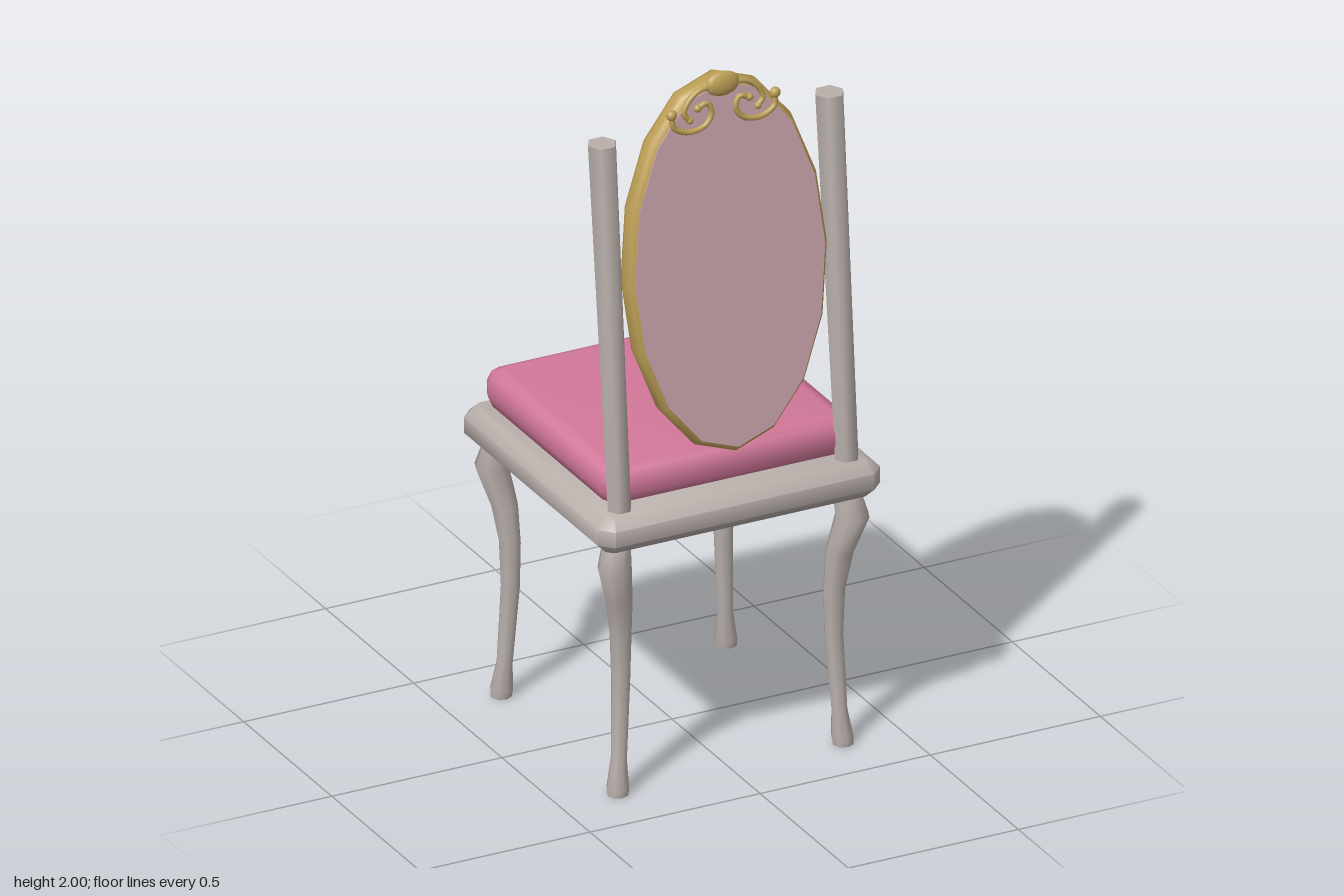
import * as THREE from 'three';
import { toCreasedNormals } from 'three/addons/utils/BufferGeometryUtils.js';

const mat = (name, color) => {
  const m = new THREE.MeshStandardMaterial({ color });
  m.name = name;
  return m;
};

// Tapered, bent bar: sections run from top to bottom as [x, y, z, radius]
function bar(sections, sides) {
  const rows = sections.length - 1;
  const g = new THREE.CylinderGeometry(1, 1, 1, sides, rows);
  g.rotateY(Math.PI / 2);
  const p = g.attributes.position;
  for (let i = 0; i < p.count; i++) {
    const [x, y, z, r] = sections[Math.round((0.5 - p.getY(i)) * rows)];
    p.setXYZ(i, x + p.getX(i) * r, y, z + p.getZ(i) * r);
  }
  return toCreasedNormals(g, 1.15);
}

// Horizontal slab with rounded corners and bevelled edges, resting on y = 0
function slab(width, depth, height, corner, bevel, steps) {
  const shape = new THREE.Shape();
  const cx = width / 2 - corner, cy = depth / 2 - corner;
  const pts = [];
  [[1, 1], [-1, 1], [-1, -1], [1, -1]].forEach(([sx, sy], q) => {
    for (let i = 0; i <= steps; i++) {
      const a = (q + i / steps) * Math.PI / 2;
      pts.push(new THREE.Vector2(sx * cx + corner * Math.cos(a), sy * cy + corner * Math.sin(a)));
    }
  });
  shape.setFromPoints(pts);
  const g = new THREE.ExtrudeGeometry(shape, {
    depth: height - 2 * bevel, bevelThickness: bevel, bevelSize: bevel,
    bevelOffset: -bevel, bevelSegments: steps
  });
  g.translate(0, 0, bevel);
  g.rotateX(-Math.PI / 2);
  return toCreasedNormals(g, 0.9);
}

export function createModel() {
  const wood = mat('greyWood', 0xb9afab);
  const pink = mat('pinkCushion', 0xd2779a);
  const panel = mat('palePinkPanel', 0xcca6ae);
  const gold = mat('gold', 0xbd9f56);

  const chair = new THREE.Group();
  chair.name = 'chair';
  const add = (parent, name, geometry, material, x = 0, y = 0, z = 0) => {
    const m = new THREE.Mesh(geometry, material);
    m.name = name;
    m.position.set(x, y, z);
    parent.add(m);
    return m;
  };

  // Seat
  add(chair, 'seatFrame', slab(0.83, 0.83, 0.105, 0.035, 0.03, 1), wood, 0, 0.73, 0);
  add(chair, 'seatCushion', slab(0.736, 0.728, 0.112, 0.05, 0.04, 2), pink, 0, 0.833, -0.019);

  // Curved legs, bowed outwards along both diagonals: [height, offset, radius]
  const legProfile = [
    [0.74, 0.337, 0.038], [0.665, 0.349, 0.047], [0.56, 0.325, 0.038], [0.45, 0.314, 0.03],
    [0.32, 0.313, 0.026], [0.1, 0.324, 0.022], [0.02, 0.33, 0.031], [0, 0.331, 0.029]
  ];
  for (const sx of [1, -1]) for (const sz of [1, -1]) {
    const name = (sz > 0 ? 'back' : 'front') + 'Leg';
    add(chair, name, bar(legProfile.map(([y, o, r]) => [sx * o, y, sz * o, r]), 8), wood);
  }

  // Leaning six-sided back posts
  for (const sx of [1, -1]) {
    add(chair, 'backPost', bar([[sx * 0.334, 1.853, 0.247, 0.041], [sx * 0.334, 0.82, 0.348, 0.034]], 6), wood);
  }

  // Leaning oval backrest
  const back = new THREE.Group();
  back.name = 'backrest';
  back.position.set(0, 1.46, 0.293);
  back.rotation.x = -0.092;
  chair.add(back);

  const rimProfile = [[0, -1], [0.955, -1], [0.99, -0.7], [1, -0.3], [1, 0.3], [0.99, 0.7], [0.955, 1], [0, 1]]
    .map(([r, h]) => new THREE.Vector2(r, h));
  const rim = new THREE.LatheGeometry(rimProfile, 16);
  rim.scale(0.293, 0.036, 0.53);
  rim.rotateX(Math.PI / 2);
  add(back, 'ovalFrame', toCreasedNormals(rim, 0.9), gold);

  for (const s of [1, -1]) {
    const disc = new THREE.CylinderGeometry(1, 1, 0.004, 16);
    disc.scale(0.279, 1, 0.512);
    disc.rotateX(Math.PI / 2);
    add(back, 'ovalPanel', disc, panel, 0, 0, s * 0.0365);
  }

  // Crest ornament: central boss with mirrored scrolls
  const crest = new THREE.Group();
  crest.name = 'crest';
  crest.position.z = 0.04;
  back.add(crest);
  const ball = (name, x, y, rx, ry, rz) =>
    add(crest, name, new THREE.SphereGeometry(1, 14, 10), gold, x, y, 0).scale.set(rx, ry, rz);
  ball('crestBoss', 0, 0.508, 0.05, 0.034, 0.016);
  const scrolls = [
    [[0.152, 0.45], [0.148, 0.415], [0.105, 0.393], [0.055, 0.403], [0.035, 0.435], [0.048, 0.463], [0.075, 0.455]],
    [[0.02, 0.505], [0.065, 0.503], [0.1, 0.48], [0.116, 0.447], [0.1, 0.425]]
  ];
  for (const s of [1, -1]) {
    for (const pts of scrolls) {
      const path = new THREE.CatmullRomCurve3(pts.map(([x, y]) => new THREE.Vector3(s * x, y, 0)));
      add(crest, 'scroll', new THREE.TubeGeometry(path, 24, 0.008, 8), gold);
    }
    ball('scrollTip', s * 0.152, 0.45, 0.015, 0.015, 0.013);
    ball('scrollCurl', s * 0.076, 0.454, 0.011, 0.011, 0.011);
    ball('scrollCurl', s * 0.1, 0.425, 0.01, 0.01, 0.01);
  }
  return chair;
}
